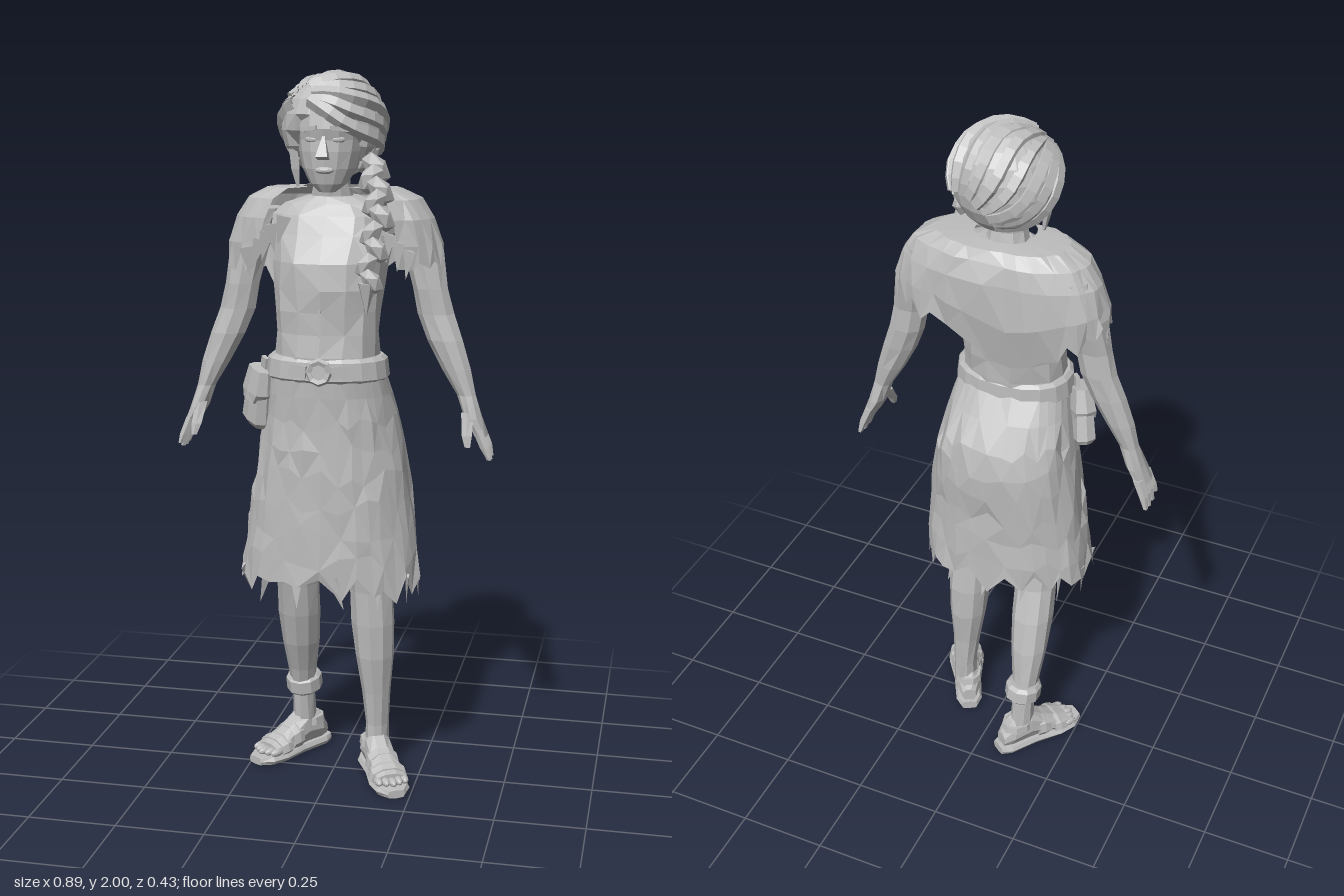
import * as THREE from 'three';

const grey = new THREE.MeshStandardMaterial({ color: 0xbdbdbd, flatShading: true, side: THREE.DoubleSide });
grey.name = 'plain grey';

// repeatable noise in -1..1
const noise = (i, j) => {
  const s = Math.sin(i * 127.1 + j * 311.7) * 43758.5453;
  return (s - Math.floor(s)) * 2 - 1;
};
const crease = (amt) => (v, i, j) => {
  v.x += amt * noise(i, j);
  v.z += amt * noise(j + 9, i);
};

// skin over horizontal rings [x, y, z, rx, rz], listed upwards
function loft(rings, n = 10, { p = 1, warp, caps = true, from = 0, to = Math.PI * 2 } = {}) {
  const pos = [], idx = [];
  const pw = (v) => Math.sign(v) * Math.abs(v) ** p;
  rings.forEach(([x, y, z, rx, rz], i) => {
    for (let j = 0; j <= n; j++) {
      const a = from + (to - from) * j / n;
      const v = new THREE.Vector3(x + rx * pw(Math.sin(a)), y, z + rz * pw(Math.cos(a)));
      if (warp) warp(v, i, j % n, a);
      pos.push(v.x, v.y, v.z);
    }
  });
  const w = n + 1;
  for (let i = 0; i < rings.length - 1; i++) for (let j = 0; j < n; j++) {
    const a = i * w + j;
    // alternate the diagonal for a faceted look
    if ((i + j) % 2) idx.push(a, a + 1, a + w + 1, a, a + w + 1, a + w);
    else idx.push(a, a + 1, a + w, a + 1, a + w + 1, a + w);
  }
  if (caps) for (const [i, flip] of [[0, true], [rings.length - 1, false]]) {
    const c = pos.length / 3, b = i * w;
    pos.push(rings[i][0], rings[i][1], rings[i][2]);
    for (let j = 0; j < n; j++) flip ? idx.push(c, b + j + 1, b + j) : idx.push(c, b + j, b + j + 1);
  }
  const g = new THREE.BufferGeometry();
  g.setAttribute('position', new THREE.Float32BufferAttribute(pos, 3));
  g.setIndex(idx);
  g.computeVertexNormals();
  return g;
}

function add(parent, name, geo, at = [0, 0, 0], rot = [0, 0, 0], scale = [1, 1, 1]) {
  const m = new THREE.Mesh(geo, grey);
  m.name = name;
  m.position.set(...at);
  m.rotation.set(...rot);
  m.scale.set(...scale);
  parent.add(m);
}
const ball = (r) => new THREE.IcosahedronGeometry(r, 1);

function buildArm(s) {
  const arm = new THREE.Group();
  arm.name = s > 0 ? 'leftArm' : 'rightArm';
  const mx = (rings) => rings.map(([x, ...r]) => [x * s, ...r]);
  add(arm, 'arm', loft(mx([
    [0.414, 1.02, 0, 0.019, 0.042], [0.39, 1.07, 0, 0.026, 0.042], [0.37, 1.13, -0.005, 0.026, 0.028],
    [0.341, 1.2, -0.01, 0.04, 0.034], [0.307, 1.28, -0.015, 0.051, 0.039], [0.28, 1.35, -0.02, 0.052, 0.041],
    [0.265, 1.42, -0.02, 0.049, 0.043], [0.245, 1.52, -0.03, 0.055, 0.052], [0.2, 1.63, -0.03, 0.06, 0.06],
  ]), 9, { warp: crease(0.002) }));
  // four fingers and a thumb
  for (let k = 0; k < 4; k++) {
    const z = -0.033 + k * 0.021, tip = [0.955, 0.95, 0.952, 0.965][k];
    add(arm, 'finger', loft(mx([
      [0.438, tip, z * 1.2, 0.007, 0.008], [0.428, 0.99, z * 1.1, 0.013, 0.011], [0.407, 1.04, z, 0.015, 0.012],
    ]), 5));
  }
  add(arm, 'thumb', loft(mx([
    [0.386, 1.0, 0.074, 0.008, 0.008], [0.382, 1.03, 0.06, 0.015, 0.014], [0.378, 1.085, 0.02, 0.018, 0.022],
  ]), 5));
  return arm;
}

function buildFoot(name, x, z, turn) {
  const foot = new THREE.Group();
  foot.name = name;
  foot.position.set(x, 0, z);
  foot.rotation.y = turn;
  const along = (rings, n, o) => loft(rings, n, o).rotateX(Math.PI / 2);
  // sections run heel to toe, third value is minus the height
  add(foot, 'sole', along([[0, -0.08, -0.014, 0.025, 0.014], [0, -0.05, -0.014, 0.04, 0.014], [0, 0.04, -0.014, 0.042, 0.014],
    [0, 0.12, -0.014, 0.055, 0.014], [0, 0.17, -0.014, 0.05, 0.014], [0, 0.205, -0.014, 0.025, 0.012]], 8, { p: 0.5 }));
  add(foot, 'foot', along([[0, -0.068, -0.045, 0.022, 0.025], [0, -0.038, -0.065, 0.037, 0.05], [0, 0.02, -0.074, 0.04, 0.06],
    [0, 0.07, -0.055, 0.043, 0.041], [0, 0.12, -0.04, 0.05, 0.027], [0, 0.155, -0.035, 0.048, 0.019]], 9));
  for (let k = -2; k <= 2; k++)
    add(foot, 'toe', ball(0.014), [k * 0.019, 0.034, 0.166 - Math.abs(k) * 0.007], [0, 0, 0], [0.85, 0.85, 1.7]);
  for (const [d, h, r] of [[0.065, 0.053, 0.05], [0.118, 0.039, 0.057]])
    add(foot, 'strap', along([[0, d - 0.018, -h, r - 0.004, h * 0.87], [0, d, -h, r, h * 0.87],
      [0, d + 0.02, -h + 0.004, r - 0.002, h * 0.75]], 9));
  add(foot, 'heelStrap', loft([[0, 0.078, -0.01, 0.044, 0.053], [0, 0.1, -0.01, 0.041, 0.048]], 9));
  return foot;
}

function buildHead() {
  const head = new THREE.Group();
  head.name = 'head';
  add(head, 'neck', loft([[0, 1.6, 0.01, 0.09, 0.07], [0, 1.66, 0.02, 0.06, 0.052], [0, 1.7, 0.028, 0.05, 0.05], [0, 1.76, 0.03, 0.05, 0.05]], 10));
  add(head, 'face', loft([[0, 1.683, 0.085, 0.022, 0.02], [0, 1.705, 0.07, 0.05, 0.048], [0, 1.745, 0.05, 0.074, 0.078],
    [0, 1.79, 0.035, 0.086, 0.097], [0, 1.82, 0.03, 0.09, 0.1], [0, 1.85, 0.03, 0.092, 0.107], [0, 1.9, 0.025, 0.09, 0.1]], 14));
  add(head, 'nose', new THREE.ConeGeometry(0.023, 0.075, 4), [0, 1.81, 0.135], [-0.3, Math.PI / 4, 0]);
  add(head, 'lips', ball(0.02), [0, 1.742, 0.124], [0, 0, 0], [1.3, 0.5, 0.6]);
  for (const s of [-1, 1]) {
    add(head, 'eye', ball(0.016), [s * 0.037, 1.822, 0.117], [0, s * 0.35, 0], [1.2, 0.55, 0.4]);
    add(head, 'brow', new THREE.BoxGeometry(0.05, 0.011, 0.016), [s * 0.04, 1.85, 0.122], [0, s * 0.4, -s * 0.12]);
    add(head, 'ear', ball(0.022), [s * 0.092, 1.775, 0.025], [0, 0, 0], [0.5, 1.4, 0.8]);
  }
  // hair mass, cut back around the face
  const rings = [];
  for (let i = 0; i <= 9; i++) {
    const t = -1.28 + 2.75 * i / 9, c = Math.cos(t);
    rings.push([-0.003, 1.852 + 0.142 * Math.sin(t), 0, 0.14 * c, 0.13 * c]);
  }
  add(head, 'hair', loft(rings, 20, {
    warp: (v) => {
      const line = 0.12 - Math.max(0, 1.9 - Math.abs(v.x) * 0.25 - v.y) * 0.75;
      if (v.y < 1.9) v.z = Math.min(v.z, Math.max(line, -0.03));
    },
  }));
  // locks sweeping from a parting above the right brow round to the nape
  const part = new THREE.Vector3(-0.45, 0.58, 0.68).normalize();
  const side = new THREE.Vector3(0, 1, 0).cross(part).normalize();
  const crown = part.clone().cross(side);
  for (let k = -6; k <= 5; k++) {
    const pts = [];
    for (let m = 0; m <= 6; m++) {
      const u = 0.22 + m * 0.4, b = k * 0.345 + 0.16 * Math.sin(u * 2);
      const d = part.clone().multiplyScalar(Math.cos(u))
        .addScaledVector(crown, Math.sin(u) * Math.cos(b)).addScaledVector(side, Math.sin(u) * Math.sin(b));
      const r = 0.885 + 0.025 * (k % 2);
      pts.push(new THREE.Vector3(-0.003 + d.x * 0.15 * r, 1.855 + d.y * 0.143 * r, 0.003 + d.z * 0.138 * r));
    }
    add(head, 'hairLock', new THREE.TubeGeometry(new THREE.CatmullRomCurve3(pts), 9, 0.021, 5));
  }
  add(head, 'looseStrand', loft([[-0.088, 1.69, 0.05, 0.004, 0.004], [-0.095, 1.74, 0.05, 0.012, 0.012], [-0.105, 1.82, 0.045, 0.012, 0.015]], 5));
  // braid hanging over the left shoulder
  const braid = new THREE.CatmullRomCurve3([[0.1, 1.77, 0.01], [0.125, 1.71, 0.065], [0.145, 1.64, 0.12], [0.14, 1.55, 0.165], [0.13, 1.46, 0.188]]
    .map((q) => new THREE.Vector3(...q)));
  for (let k = 0; k <= 9; k++) {
    const q = braid.getPoint(k / 9), s = k % 2 ? 1 : -1;
    add(head, 'braidTwist', new THREE.IcosahedronGeometry(0.037 - k * 0.0009, 0), [q.x + s * 0.011, q.y, q.z], [0.3, 0, s * 0.6], [0.9, 1.4, 0.8]);
  }
  add(head, 'braidTip', new THREE.ConeGeometry(0.026, 0.09, 5), [0.127, 1.41, 0.188], [Math.PI, 0, 0]);
  return head;
}

function buildDress() {
  const dress = new THREE.Group();
  dress.name = 'dress';
  add(dress, 'bodice', loft([[0, 1.18, 0.08, 0.152, 0.112], [0, 1.25, 0.078, 0.145, 0.112], [0, 1.31, 0.073, 0.141, 0.113],
    [0, 1.37, 0.068, 0.144, 0.119], [0, 1.43, 0.06, 0.152, 0.132], [0, 1.5, 0.045, 0.157, 0.143], [0, 1.57, 0.018, 0.168, 0.13],
    [0, 1.62, 0, 0.168, 0.11], [0, 1.65, 0.005, 0.13, 0.088], [0, 1.67, 0.012, 0.07, 0.062]], 15, { p: 0.9, warp: crease(0.005) }));
  add(dress, 'frontSeam', new THREE.BoxGeometry(0.006, 0.17, 0.006), [0, 1.34, 0.186]);
  // skirt with torn hem
  add(dress, 'skirt', loft([[0, 0.6, 0.032, 0.255, 0.157], [0, 0.68, 0.032, 0.244, 0.157], [0, 0.76, 0.033, 0.235, 0.156],
    [0, 0.84, 0.031, 0.224, 0.158], [0, 0.92, 0.028, 0.212, 0.161], [0, 1.0, 0.026, 0.199, 0.163], [0, 1.07, 0.032, 0.187, 0.155],
    [0, 1.14, 0.055, 0.173, 0.133], [0, 1.21, 0.08, 0.156, 0.114]], 34, {
    p: 0.86, caps: false,
    warp: (v, i, j) => {
      crease(i < 7 ? 0.005 : 0.002)(v, i, j);
      if (i === 0) {
        v.y += 0.03 * noise(j, 3) + (j % 2 ? -0.015 : 0.025);
        v.x *= 1 + 0.035 * noise(j, 5);
      } else if (i < 7) v.y += 0.026 * noise(j, i + 20);
    },
  }));
  // loose tatters along the hem
  for (let k = 0; k < 13; k++) {
    const a = k / 13 * Math.PI * 2 + 0.2;
    add(dress, 'hemTatter', new THREE.ConeGeometry(0.022, 0.1, 3), [0.246 * Math.sin(a), 0.592, 0.032 + 0.15 * Math.cos(a)],
      [Math.PI + 0.25 * noise(k, 1), a, 0.4 * noise(k, 2)], [1, 1, 0.25]);
  }
  // shawl open at the front, hanging to a ragged point behind
  add(dress, 'shawl', loft([[0, 1.48, -0.018, 0.302, 0.115], [0, 1.54, -0.016, 0.294, 0.118], [0, 1.61, -0.014, 0.272, 0.118],
    [0, 1.662, -0.012, 0.237, 0.108], [0, 1.69, -0.005, 0.18, 0.09], [0, 1.695, 0.01, 0.08, 0.068]], 34, {
    p: 0.8, caps: false, from: 0.62, to: Math.PI * 2 - 0.62,
    warp: (v, i, j, a) => {
      crease(i < 5 ? 0.006 : 0)(v, i, j);
      const drop = Math.cos(a) < -0.2 ? Math.max(0, 1 - Math.abs(v.x + 0.06) / 0.21) : 0;
      if (i === 0) {
        v.y += 0.02 * noise(j, 8) + (j % 2 ? -0.014 : 0.014) - 0.14 * drop;
        v.z += 0.03 * drop;
      }
      if (i === 1) v.y -= 0.06 * drop;
    },
  }));
  // frayed scraps beside the chest
  for (const s of [-1, 1]) for (let k = 0; k < 5; k++)
    add(dress, 'shawlTatter', new THREE.ConeGeometry(0.024, 0.08, 3), [s * (0.12 + k * 0.025), 1.58 - k * 0.022, 0.125 - k * 0.009],
      [Math.PI, s * 0.5, s * 0.35 * noise(k, s)], [1, 1, 0.35]);
  return dress;
}

function buildBelt() {
  const belt = new THREE.Group();
  belt.name = 'belt';
  add(belt, 'beltBand', loft([[0, 1.182, 0.08, 0.16, 0.112], [0, 1.19, 0.08, 0.17, 0.12], [0, 1.238, 0.08, 0.164, 0.118],
    [0, 1.248, 0.08, 0.153, 0.11]], 18, { p: 0.9 }));
  add(belt, 'buckle', new THREE.TorusGeometry(0.029, 0.01, 5, 8), [0, 1.213, 0.194]);
  for (const s of [-1, 1])
    add(belt, 'beltPlate', new THREE.BoxGeometry(0.05, 0.034, 0.012), [s * 0.058, 1.215, 0.19], [0, s * 0.25, s * 0.1]);
  // pouch at the right hip
  const pouch = new THREE.Group();
  pouch.name = 'pouch';
  pouch.position.set(-0.192, 1.12, 0.09);
  pouch.rotation.set(0, -0.9, -0.2);
  add(pouch, 'pouchBody', loft([[0, -0.08, 0, 0.045, 0.022], [0, -0.065, 0, 0.055, 0.033], [0, 0.05, 0, 0.048, 0.028], [0, 0.08, 0, 0.04, 0.02]], 8, { p: 0.6 }));
  add(pouch, 'pouchFlap', loft([[0, -0.005, 0.004, 0.04, 0.036], [0, 0.02, 0.002, 0.056, 0.036], [0, 0.085, 0, 0.045, 0.026]], 8, { p: 0.6 }));
  add(pouch, 'pouchLoop', new THREE.BoxGeometry(0.03, 0.05, 0.012), [0, 0.09, -0.01]);
  belt.add(pouch);
  return belt;
}

export function createModel() {
  const model = new THREE.Group();
  model.name = 'woman';
  model.add(buildHead(), buildDress(), buildBelt(), buildArm(1), buildArm(-1));
  // left leg forward, right leg trailing
  const uneven = { warp: crease(0.002) };
  add(model, 'leftLeg', loft([[0.125, 0.06, -0.015, 0.034, 0.045], [0.125, 0.15, -0.015, 0.034, 0.042], [0.122, 0.25, -0.008, 0.041, 0.046],
    [0.118, 0.36, -0.004, 0.056, 0.059], [0.114, 0.46, 0, 0.063, 0.062], [0.11, 0.56, 0.008, 0.063, 0.057],
    [0.108, 0.65, 0.015, 0.068, 0.065], [0.1, 0.95, 0.03, 0.085, 0.1]], 10, uneven));
  add(model, 'rightLeg', loft([[-0.118, 0.06, -0.138, 0.034, 0.045], [-0.12, 0.18, -0.126, 0.033, 0.04], [-0.119, 0.27, -0.103, 0.042, 0.046],
    [-0.116, 0.36, -0.077, 0.055, 0.058], [-0.113, 0.46, -0.049, 0.062, 0.062], [-0.11, 0.56, -0.018, 0.062, 0.057],
    [-0.108, 0.65, 0.002, 0.068, 0.065], [-0.1, 0.95, 0.03, 0.085, 0.1]], 10, uneven));
  model.add(buildFoot('leftFoot', 0.122, -0.007, 0.48), buildFoot('rightFoot', -0.115, -0.138, -0.6));
  add(model, 'ankleShackle', loft([[0, -0.028, 0, 0.043, 0.047], [0, -0.018, 0, 0.053, 0.058], [0, 0.018, 0, 0.053, 0.058], [0, 0.028, 0, 0.043, 0.047]], 10),
    [-0.118, 0.215, -0.125], [0.15, 0, 0.06]);
  return model;
}
